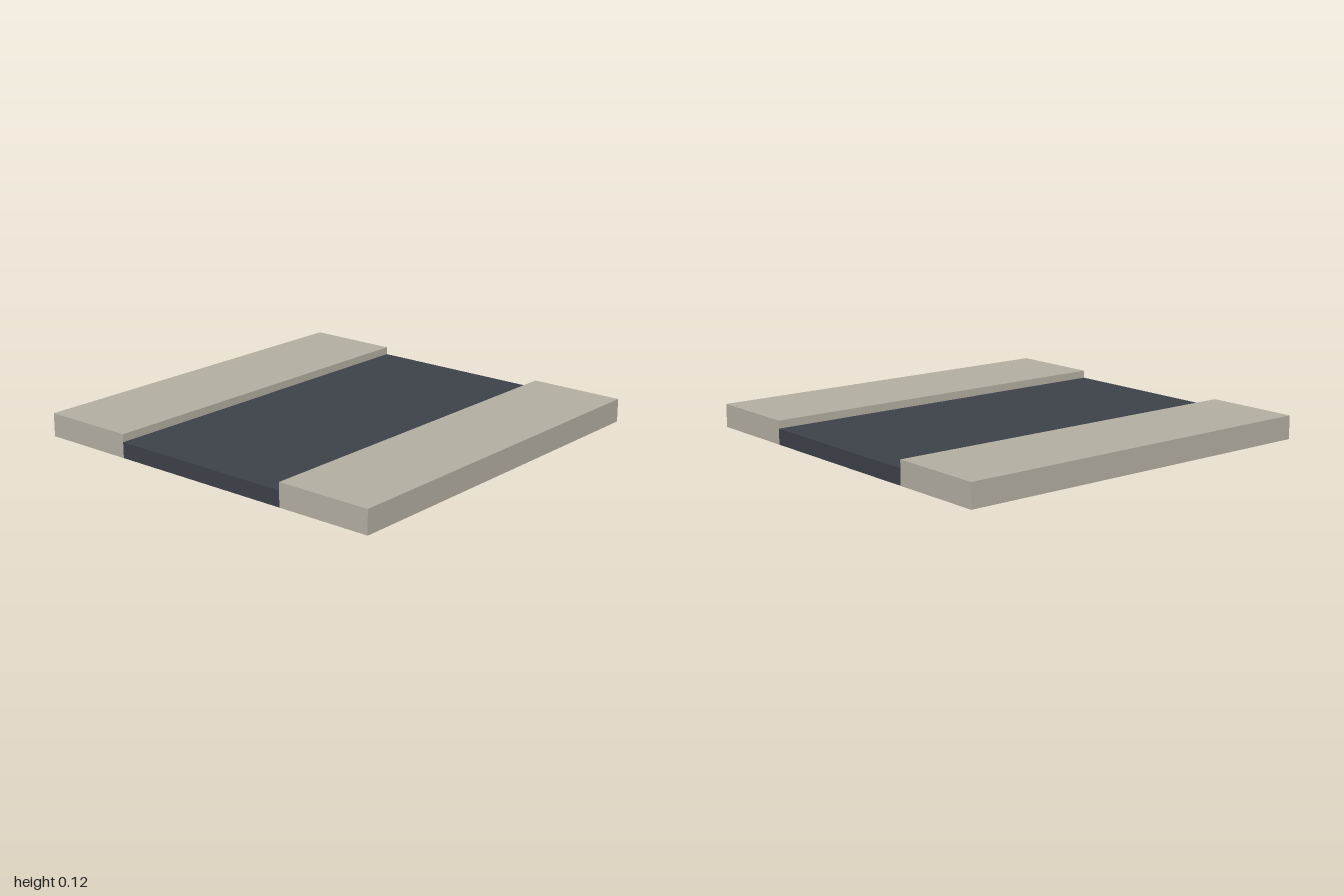
import * as THREE from 'three';

const paving = new THREE.MeshStandardMaterial({ name: 'pavingStone', color: 0xb2ada0, side: THREE.DoubleSide });
const asphalt = new THREE.MeshStandardMaterial({ name: 'asphalt', color: 0x3c4148, side: THREE.DoubleSide });

// Hollow slab standing on y = 0, keeping only the listed box faces
// (0 +x, 1 -x, 2 top, 3 bottom, 4 front, 5 back)
function slab(name, width, height, x, faces, material) {
  const geometry = new THREE.BoxGeometry(width, height, 2);
  const index = Array.from(geometry.index.array);
  geometry.setIndex(faces.flatMap((f) => index.slice(f * 6, f * 6 + 6)));
  geometry.clearGroups();
  const mesh = new THREE.Mesh(geometry, material);
  mesh.name = name;
  mesh.position.set(x, height / 2, 0);
  return mesh;
}

export function createModel() {
  const group = new THREE.Group();
  group.name = 'roadSection';

  // Lowered roadway, closed at its two ends
  group.add(slab('roadway', 1, 0.08, 0, [2, 4, 5], asphalt));

  // Raised pavements, open underneath
  for (const [name, side] of [['leftPavement', 1], ['rightPavement', -1]]) {
    group.add(slab(name, 0.5, 0.12, side * 0.75, [0, 1, 2, 4, 5], paving));
  }
  return group;
}
